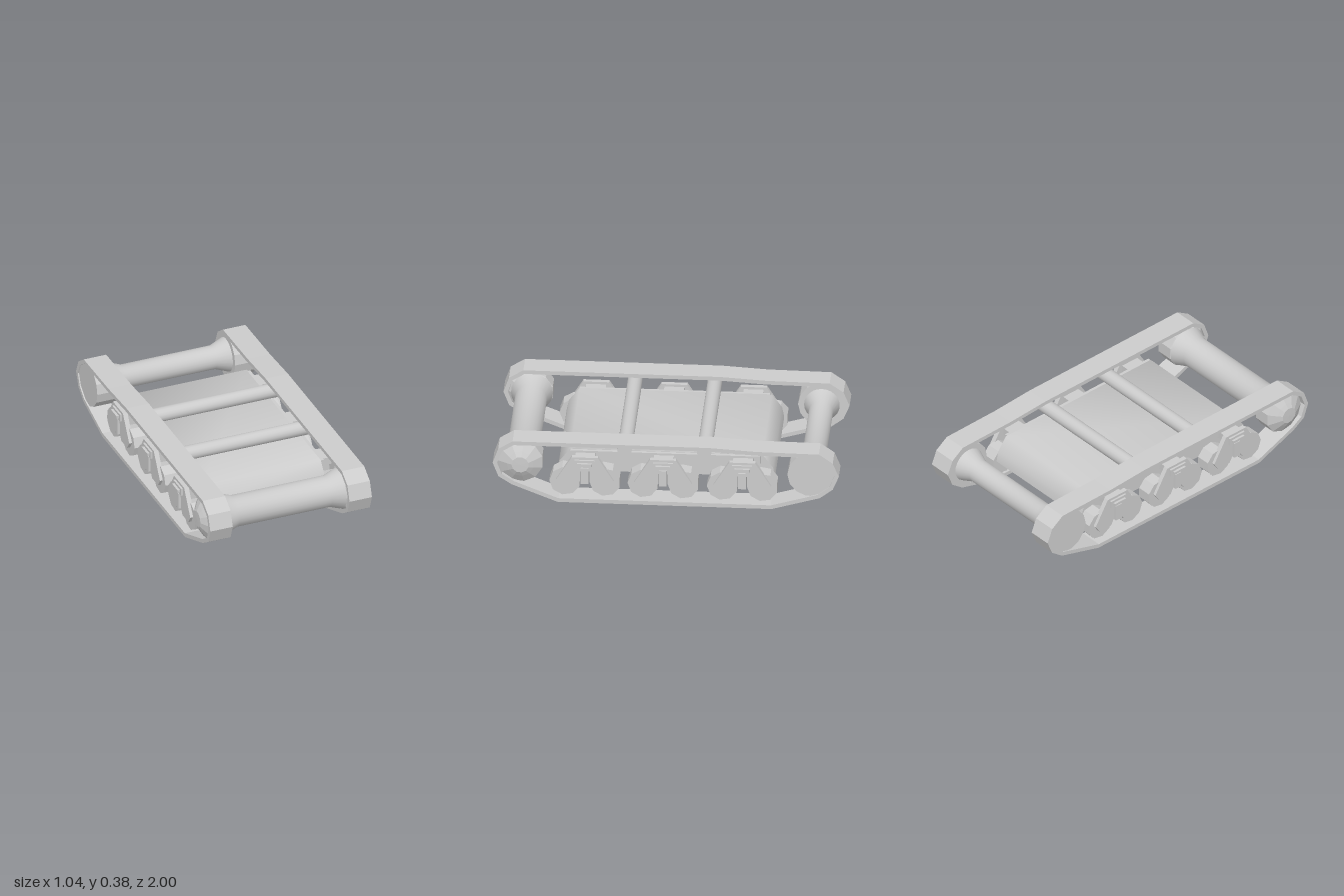
import * as THREE from 'three';
import { toCreasedNormals } from 'three/addons/utils/BufferGeometryUtils.js';

const smooth = new THREE.MeshStandardMaterial({ color: 0xcccccc });
const flat = new THREE.MeshStandardMaterial({ color: 0xcccccc, flatShading: true });

function add(parent, name, geometry, material = flat) {
  const mesh = new THREE.Mesh(geometry, material);
  mesh.name = name;
  parent.add(mesh);
  return mesh;
}

// Side profile of [z, y] points extruded from x0 to x1, with an optional hole
function profile(points, x0, x1, hole) {
  const toVec = p => new THREE.Vector2(p[0], p[1]);
  const shape = new THREE.Shape(points.map(toVec));
  if (hole) shape.holes.push(new THREE.Path(hole.map(toVec)));
  const g = new THREE.ExtrudeGeometry(shape, { depth: x1 - x0, bevelEnabled: false });
  return g.rotateY(-Math.PI / 2).translate(x1, 0, 0);
}

// Solid of revolution about x from [x, radius] points in rising x
function turned(points, segments, y, z) {
  const g = new THREE.LatheGeometry(points.map(p => new THREE.Vector2(p[1], p[0])), segments);
  return g.rotateZ(-Math.PI / 2).translate(0, y, z);
}

// Clockwise loop moved inward by distance d
function inset(points, d) {
  const n = points.length;
  const dir = (a, b) => {
    const l = Math.hypot(b[0] - a[0], b[1] - a[1]);
    return [(b[0] - a[0]) / l, (b[1] - a[1]) / l];
  };
  return points.map((p, i) => {
    const u = dir(points[(i + n - 1) % n], p), v = dir(p, points[(i + 1) % n]);
    const nx = -u[1] - v[1], ny = u[0] + v[0];
    const k = d * 2 / (nx * nx + ny * ny);
    return [p[0] + nx * k, p[1] + ny * k];
  });
}

const mirrorRange = (s, a, b) => s > 0 ? [a, b] : [-b, -a];
const mirrorPoints = (s, pts) => s > 0 ? pts : pts.map(([x, r]) => [-x, r]).reverse();

export function createModel() {
  const model = new THREE.Group();
  model.name = 'trackedUndercarriage';

  // Outline of one track belt, running anticlockwise in (z, y)
  const belt = [
    [1, 0.242], [0.968, 0.333], [0.885, 0.385], [-0.25, 0.385], [-0.52, 0.37], [-0.885, 0.366],
    [-0.965, 0.31], [-1, 0.225], [-0.965, 0.14], [-0.89, 0.082], [-0.61, 0], [0.625, 0],
    [0.89, 0.105], [0.967, 0.155],
  ];
  const beltInner = inset(belt, 0.024);

  for (const s of [1, -1]) {
    const side = new THREE.Group();
    side.name = s > 0 ? 'leftTrack' : 'rightTrack';
    model.add(side);
    add(side, 'trackBelt', profile(belt, ...mirrorRange(s, 0.365, 0.505), beltInner));

    // Front wheel with domed cap, rear wheel with flat face
    const frontWheel = [[0.365, 0], [0.365, 0.118], [0.375, 0.13], [0.475, 0.13], [0.505, 0.08], [0.521, 0.05], [0.522, 0]];
    add(side, 'frontWheel', turned(mirrorPoints(s, frontWheel), 11, 0.242, 0.84));
    const rearWheel = [[0.365, 0], [0.365, 0.138], [0.497, 0.138], [0.497, 0]];
    add(side, 'rearWheel', turned(mirrorPoints(s, rearWheel), 14, 0.226, -0.84));

    // Three bogies, each with a pair of road wheels
    for (const z of [0.47, 0.018, -0.44]) {
      const bogie = new THREE.Group();
      bogie.name = 'bogie';
      bogie.position.z = z;
      side.add(bogie);
      for (const e of [1, -1]) {
        const wheel = [[0.375, 0], [0.375, 0.09], [0.46, 0.09], [0.46, 0]];
        add(bogie, 'roadWheel', turned(mirrorPoints(s, wheel), 9, 0.115, e * 0.116));
        const arm = [[0, 0.28], [0.075, 0.28], [0.167, 0.13], [0.137, 0.085], [0.05, 0.085], [0.027, 0.125], [0.027, 0.19], [0, 0.19]];
        add(bogie, 'bogieArm', profile(arm.map(([a, b]) => [a * e, b]), ...mirrorRange(s, 0.45, 0.478)));
      }
      const strut = add(bogie, 'bogieStrut', new THREE.BoxGeometry(0.11, 0.1, 0.045));
      strut.position.set(s * 0.435, 0.165, 0);
      const bracket = add(bogie, 'bogieBracket', new THREE.BoxGeometry(0.13, 0.045, 0.115));
      bracket.position.set(s * 0.425, 0.243, 0);
      const lip = add(bogie, 'bracketLip', new THREE.BoxGeometry(0.02, 0.016, 0.085));
      lip.position.set(s * 0.495, 0.243, 0);
    }

    // Rail along the hull that carries the bogies
    const rail = add(side, 'sideRail', new THREE.BoxGeometry(0.03, 0.05, 1.1));
    rail.position.set(s * 0.375, 0.253, 0.01);
  }

  // Flared axles between the end wheels
  const frontAxle = [[-0.37, 0.122], [-0.29, 0.093], [0.29, 0.093], [0.37, 0.122]];
  add(model, 'frontAxle', toCreasedNormals(turned(frontAxle, 24, 0.242, 0.836), 0.6), smooth);
  const rearAxle = [[-0.37, 0.105], [-0.28, 0.07], [0.28, 0.07], [0.37, 0.105]];
  add(model, 'rearAxle', toCreasedNormals(turned(rearAxle, 24, 0.226, -0.84), 0.6), smooth);

  // Return rollers beneath the upper run of the belts
  for (const z of [0.243, -0.217]) {
    const roller = [[-0.43, 0], [-0.43, 0.043], [0.43, 0.043], [0.43, 0]];
    add(model, 'returnRoller', toCreasedNormals(turned(roller, 16, 0.317, z), 0.6), smooth);
  }

  // Central hull with sloping ends and a slightly raised belly
  const hull = [
    [0.56, 0.28], [-0.55, 0.28], [-0.61, 0.2], [-0.622, 0.135], [-0.6, 0.115], [-0.42, 0.14],
    [0.42, 0.14], [0.61, 0.115], [0.635, 0.135], [0.622, 0.2],
  ];
  add(model, 'hull', toCreasedNormals(profile(hull, -0.37, 0.37), 1), smooth);

  return model;
}
